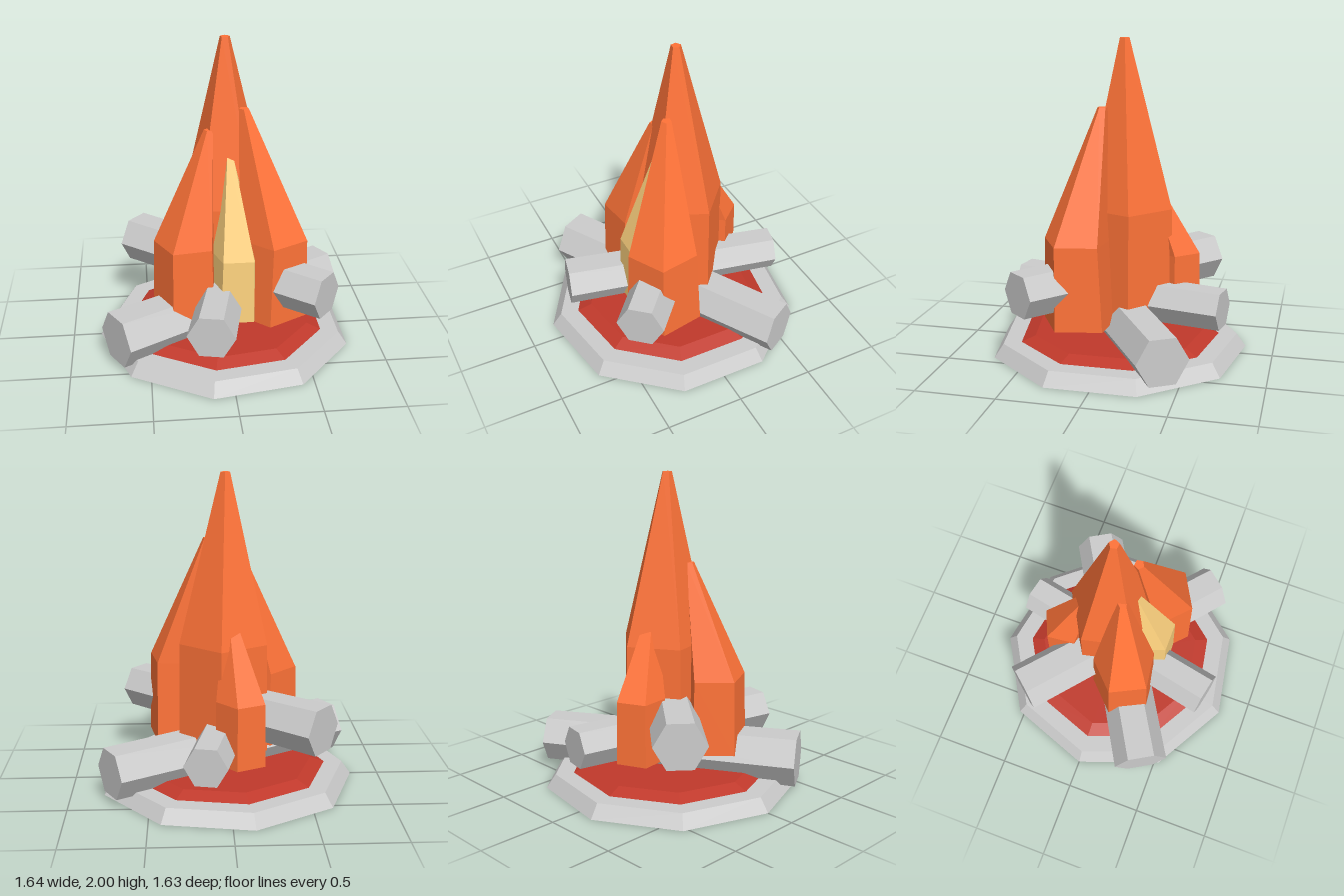
import * as THREE from 'three';

const mat = (color) => new THREE.MeshStandardMaterial({ color, flatShading: true });
const grey = mat(0xcccccc);
const red = mat(0xc0392b);
const orange = mat(0xff7338);
const yellow = mat(0xffd37f);

function add(parent, name, geometry, material) {
  const mesh = new THREE.Mesh(geometry, material);
  mesh.name = name;
  parent.add(mesh);
  return mesh;
}

// Nine-sided tapered disc with one corner pointing to -x
function disc(parent, name, rTop, rBottom, y0, y1, material) {
  const geo = new THREE.CylinderGeometry(rTop, rBottom, y1 - y0, 9);
  geo.rotateY(-Math.PI / 2);
  add(parent, name, geo, material).position.set(0.01, (y0 + y1) / 2, 0);
}

// Tapered six-sided log lying flat between two points [x, z]
function log(parent, name, y, [x0, z0], r0, [x1, z1], r1) {
  const length = Math.hypot(x1 - x0, z1 - z0);
  const geo = new THREE.CylinderGeometry(r0, r1, length, 6);
  geo.rotateZ(Math.PI / 2); // the r0 end now points to -x
  const mesh = add(parent, name, geo, grey);
  mesh.rotation.y = -Math.atan2(z1 - z0, x1 - x0);
  mesh.position.set((x0 + x1) / 2, y, (z0 + z1) / 2);
}

// Five-sided flame lofted through rings [x, y, z, radius], listed from bottom to top
function flame(parent, name, degrees, rings, material) {
  const sides = 5;
  const point = ([x, y, z, r], i) => {
    const a = THREE.MathUtils.degToRad(degrees) + (i * 2 * Math.PI) / sides;
    return [x + r * Math.cos(a), y, z + r * Math.sin(a)];
  };
  const pos = [];
  const first = rings[0];
  const last = rings[rings.length - 1];
  for (let i = 0; i < sides; i++) {
    for (let k = 0; k < rings.length - 1; k++) {
      const a = point(rings[k], i), b = point(rings[k + 1], i);
      const c = point(rings[k + 1], i + 1), d = point(rings[k], i + 1);
      pos.push(...a, ...b, ...c, ...a, ...c, ...d);
    }
    pos.push(...first.slice(0, 3), ...point(first, i), ...point(first, i + 1));
    pos.push(...last.slice(0, 3), ...point(last, i + 1), ...point(last, i));
  }
  const geo = new THREE.BufferGeometry();
  geo.setAttribute('position', new THREE.Float32BufferAttribute(pos, 3));
  geo.computeVertexNormals();
  add(parent, name, geo, material);
}

export function createModel() {
  const model = new THREE.Group();
  model.name = 'campfire';

  // Stone base and ember bed
  disc(model, 'stoneBase', 0.77, 0.83, 0, 0.085, grey);
  disc(model, 'emberBed', 0.56, 0.665, 0.08, 0.12, red);

  // Three crossed logs, stacked at different heights
  const logs = new THREE.Group();
  logs.name = 'logs';
  log(logs, 'lowerLog', 0.203, [-0.71, 0.42], 0.18, [0.74, -0.425], 0.165);
  log(logs, 'middleLog', 0.342, [-0.137, 0.683], 0.15, [0.157, -0.695], 0.135);
  log(logs, 'upperLog', 0.488, [-0.56, -0.49], 0.165, [0.595, 0.495], 0.15);
  model.add(logs);

  // Flames: base ring, shoulder ring, small blunt tip
  const flames = new THREE.Group();
  flames.name = 'flames';
  flame(flames, 'mainFlame', -85,
    [[0.025, 0.24, -0.06, 0.297], [0.025, 0.94, -0.06, 0.289], [0.014, 2, -0.035, 0.031]], orange);
  flame(flames, 'leftFlame', 25,
    [[0.288, 0.24, 0.185, 0.247], [0.299, 0.77, 0.197, 0.222], [0.12, 1.58, 0.08, 0.032]], orange);
  flame(flames, 'rightFlame', 117.5,
    [[-0.243, 0.24, 0.128, 0.224], [-0.243, 0.72, 0.128, 0.211], [-0.092, 1.44, 0.055, 0.032]], orange);
  flame(flames, 'backFlame', -78,
    [[-0.073, 0.24, -0.36, 0.164], [-0.073, 0.64, -0.36, 0.159], [0, 1.17, -0.18, 0.025]], orange);
  flame(flames, 'innerFlame', 54,
    [[0.06, 0.24, 0.206, 0.178], [0.067, 0.66, 0.206, 0.166], [0.034, 1.28, 0.088, 0.032]], yellow);
  model.add(flames);

  return model;
}
